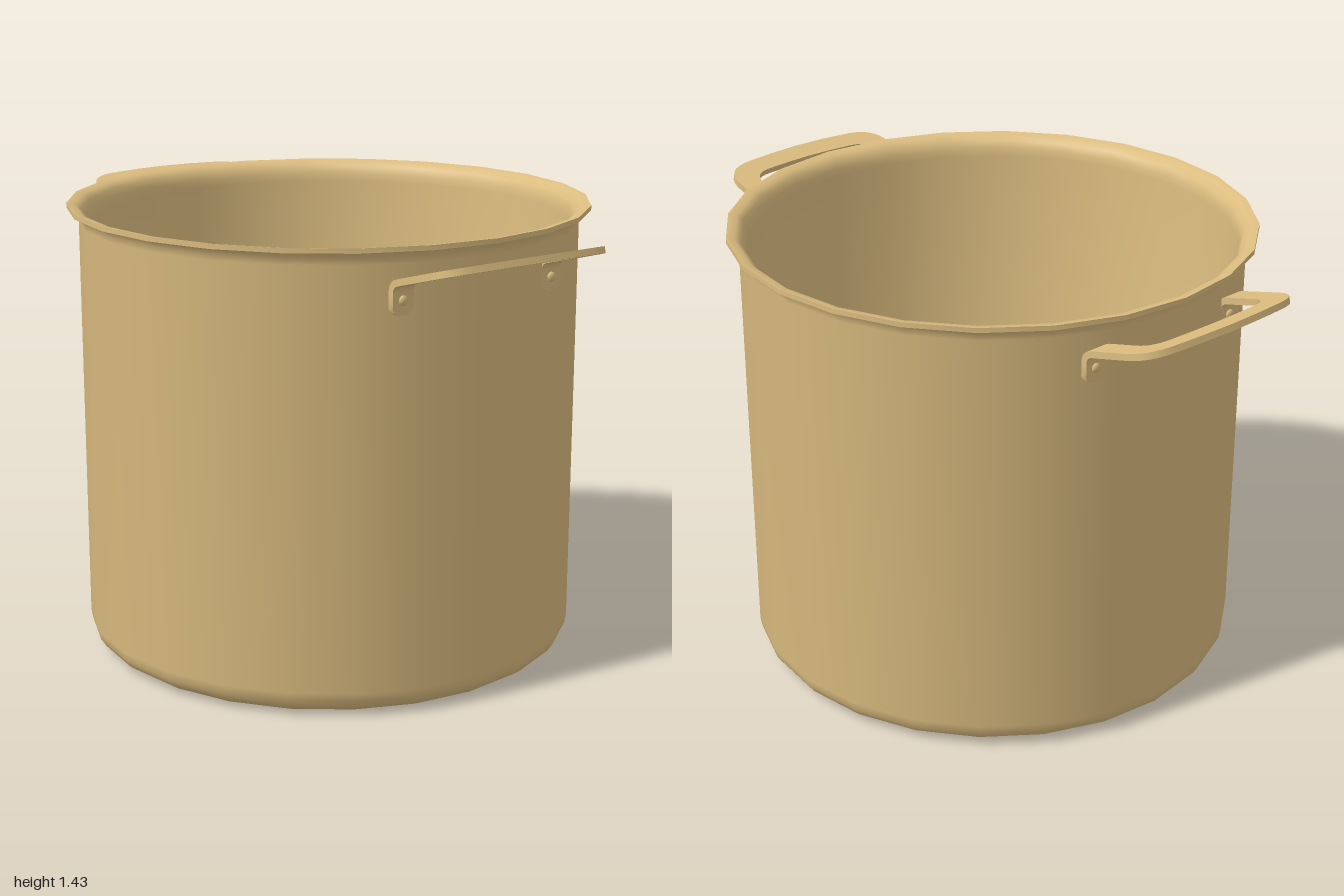
import * as THREE from 'three';
import { toCreasedNormals } from 'three/addons/utils/BufferGeometryUtils.js';

const V2 = (x, y) => new THREE.Vector2(x, y);
const material = new THREE.MeshStandardMaterial({ color: 0xdcbd80 });

function makeMesh(name, geometry) {
  const mesh = new THREE.Mesh(geometry, material);
  mesh.name = name;
  return mesh;
}

// Pot: one closed profile, outside up to the flared rim, then down the inside
function potGeometry() {
  const profile = [
    V2(0, 0), V2(0.7, 0), V2(0.735, 0.008), V2(0.763, 0.027), V2(0.78, 0.052), V2(0.785, 0.08),
    V2(0.785, 1.375), V2(0.789, 1.395), V2(0.8, 1.409), V2(0.822, 1.415),
    V2(0.822, 1.43), V2(0.795, 1.425), V2(0.777, 1.41), V2(0.768, 1.385), V2(0.766, 1.36),
    V2(0.766, 0.085), V2(0.758, 0.055), V2(0.738, 0.033), V2(0.7, 0.02), V2(0, 0.02),
  ];
  return toCreasedNormals(new THREE.LatheGeometry(profile, 24), 0.6);
}

// Handle: a flat U-shaped strip bent along a side profile
function handleGeometry() {
  const bend = new THREE.CurvePath();
  bend.add(new THREE.LineCurve(V2(0.733, 1.227), V2(0.733, 1.295)));
  bend.add(new THREE.QuadraticBezierCurve(V2(0.733, 1.295), V2(0.733, 1.321), V2(0.762, 1.329)));
  bend.add(new THREE.LineCurve(V2(0.762, 1.329), V2(0.999, 1.397)));
  const L = bend.getLength();
  const half = 0.01;

  // Half outline as [inner u, inner z, outer u, outer z], u measured along the bend
  const side = [[0, 0.262, 0, 0.293], [0.008, 0.247, 0.008, 0.308], [0.022, 0.24, 0.022, 0.315]];
  for (const u of [0.06, 0.07, 0.078, 0.086, 0.094, 0.102, 0.112, 0.125]) side.push([u, 0.24, u, 0.315]);
  const inner = new THREE.QuadraticBezierCurve(V2(L - 0.14, 0.24), V2(L - 0.08, 0.24), V2(L - 0.077, 0.17));
  const outer = new THREE.QuadraticBezierCurve(V2(L - 0.11, 0.315), V2(L - 0.025, 0.315), V2(L - 0.013, 0.215));
  for (let k = 0; k <= 8; k++) {
    const a = inner.getPoint(k / 8), b = outer.getPoint(k / 8);
    side.push([a.x, a.y, b.x, b.y]);
  }
  side.push([L - 0.072, 0.09, L - 0.004, 0.11]);
  const mirrored = side.map(([a, b, c, d]) => [a, -b, c, -d]).reverse();
  const stations = [...side, [L - 0.07, 0, L, 0], ...mirrored];

  const positions = [], index = [];
  const put = (u, z, w) => {
    const t = Math.min(u / L, 1);
    const p = bend.getPointAt(t), d = bend.getTangentAt(t);
    positions.push(p.x - d.y * w, p.y + d.x * w, z);
  };
  stations.forEach(([ui, zi, uo, zo], i) => {
    put(uo, zo, half);
    put(ui, zi, half);
    put(ui, zi, -half);
    put(uo, zo, -half);
    if (i === 0) return;
    for (let j = 0; j < 4; j++) {
      const a = (i - 1) * 4 + j, b = (i - 1) * 4 + (j + 1) % 4;
      index.push(a, a + 4, b, b, a + 4, b + 4);
    }
  });
  const e = (stations.length - 1) * 4;
  index.push(0, 1, 2, 0, 2, 3, e, e + 2, e + 1, e, e + 3, e + 2);

  const geometry = new THREE.BufferGeometry();
  geometry.setAttribute('position', new THREE.Float32BufferAttribute(positions, 3));
  geometry.setIndex(index);
  return toCreasedNormals(geometry, 0.6);
}

export function createModel() {
  const model = new THREE.Group();
  model.name = 'stockPot';
  model.add(makeMesh('pot', potGeometry()));

  // Two handles, each fixed with a pair of domed rivets
  const strip = handleGeometry();
  const dome = new THREE.SphereGeometry(0.016, 12, 6, 0, Math.PI * 2, 0, Math.PI / 2);
  dome.scale(1, 0.6, 1).rotateZ(-Math.PI / 2);
  for (const [name, angle] of [['leftHandle', 0], ['rightHandle', Math.PI]]) {
    const handle = new THREE.Group();
    handle.name = name;
    handle.add(makeMesh('handleStrip', strip));
    for (const z of [-0.278, 0.278]) {
      const rivet = makeMesh('rivet', dome);
      rivet.position.set(0.742, 1.27, z);
      handle.add(rivet);
    }
    handle.rotation.y = angle;
    model.add(handle);
  }
  return model;
}
